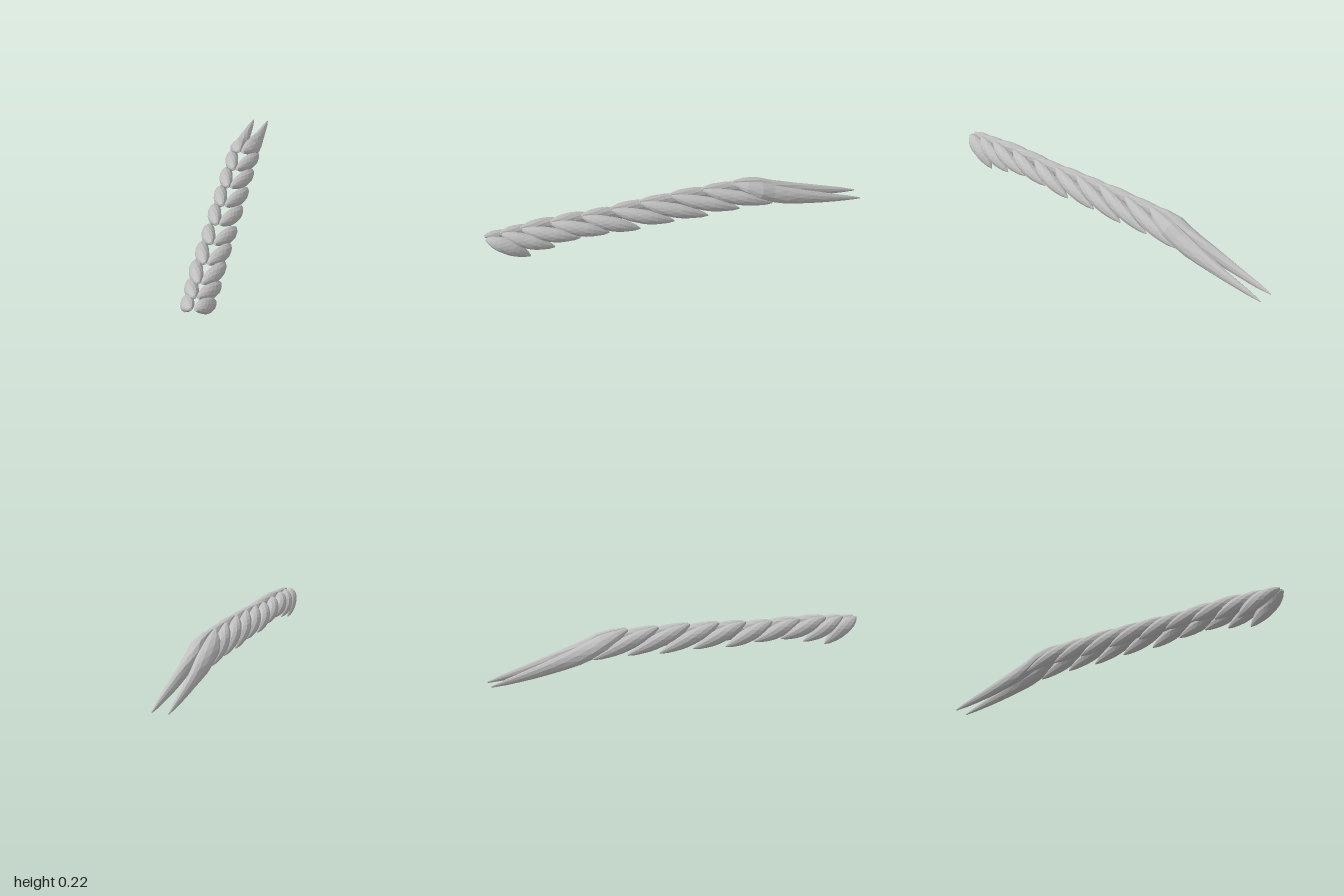
import * as THREE from 'three';

const SIDES = 10, RINGS = 10;
const smooth = (keys, t) => {            // linear lookup in [t, value] pairs
  for (let i = 1; i < keys.length; i++) {
    const [t0, v0] = keys[i - 1], [t1, v1] = keys[i];
    if (t <= t1) return v0 + (v1 - v0) * (t - t0) / (t1 - t0);
  }
  return keys[keys.length - 1][1];
};
const FULLNESS = [[0, 0.22], [0.08, 0.52], [0.25, 0.9], [0.45, 1], [0.65, 0.95], [0.85, 0.6], [0.95, 0.34], [1, 0.1]];
const LONG_FULLNESS = [[0, 0.22], [0.06, 0.6], [0.2, 1], [0.4, 0.97], [0.65, 0.68], [0.88, 0.36], [1, 0.08]];
const LEAN = [[0, 1.2], [0.25, 0.8], [0.55, 0.15], [1, -0.2]]; // angle of the outward side

// One tapered lock: elliptical rings swept along a curve, kept on its own side of the middle
function lockGeometry(points, width, thickness, fullness, side) {
  const curve = new THREE.CatmullRomCurve3(points.map(p => new THREE.Vector3(...p)));
  const pos = [], index = [];
  const push = v => pos.push(side * Math.max(v.x, 0.001), Math.max(v.y, 0), THREE.MathUtils.clamp(v.z, -1, 1));
  const tri = (a, b, c) => side > 0 ? index.push(a, b, c) : index.push(a, c, b);
  for (let i = 0; i <= RINGS; i++) {
    const t = i / RINGS, c = curve.getPointAt(t), T = curve.getTangentAt(t);
    const lean = smooth(LEAN, t), f = smooth(fullness, t);
    const U = new THREE.Vector3(Math.cos(lean), Math.sin(lean), 0);
    U.addScaledVector(T, -U.dot(T)).normalize();
    const V = T.clone().cross(U);
    for (let j = 0; j < SIDES; j++) {
      const a = j / SIDES * Math.PI * 2;
      push(c.clone().addScaledVector(U, Math.cos(a) * thickness * f).addScaledVector(V, Math.sin(a) * width * f));
    }
  }
  const first = pos.length / 3, last = first + 1;
  push(curve.getPointAt(0));
  push(curve.getPointAt(1));
  for (let j = 0; j < SIDES; j++) {
    const k = (j + 1) % SIDES, e = RINGS * SIDES;
    for (let i = 0; i < RINGS; i++) {
      const r = i * SIDES, s = r + SIDES;
      tri(r + j, r + k, s + j);
      tri(r + k, s + k, s + j);
    }
    tri(first, k, j);
    tri(last, e + j, e + k);
  }
  const g = new THREE.BufferGeometry();
  g.setAttribute('position', new THREE.Float32BufferAttribute(pos, 3));
  g.setIndex(index);
  g.computeVertexNormals();
  return g;
}

export function createModel() {
  const model = new THREE.Group();
  model.name = 'braid';
  const grey = new THREE.MeshStandardMaterial({ color: 0xbfbfbf, flatShading: true });
  grey.name = 'light grey';

  const addPair = (name, points, width, thickness, fullness) => {
    for (const side of [1, -1]) {
      const mesh = new THREE.Mesh(lockGeometry(points, width, thickness, fullness, side), grey);
      mesh.name = (side > 0 ? 'left' : 'right') + name;
      model.add(mesh);
    }
  };

  // Blunt pair at the front
  addPair('FrontLock', [[0.012, 0.157, 0.99], [0.032, 0.138, 0.945], [0.05, 0.1, 0.87], [0.062, 0.045, 0.785]],
    0.04, 0.031, FULLNESS);

  // Overlapping pairs: front z, top y, back z, back y
  const rows = [
    [0.91, 0.176, 0.66, 0.068],
    [0.81, 0.181, 0.53, 0.095],
    [0.66, 0.185, 0.38, 0.095],
    [0.5, 0.189, 0.22, 0.084],
    [0.35, 0.2, 0.04, 0.092],
    [0.2, 0.211, -0.14, 0.088],
    [0.04, 0.219, -0.31, 0.095],
    [-0.13, 0.22, -0.49, 0.092],
  ];
  rows.forEach(([z0, top, z1, low], i) => {
    const z = t => z0 + (z1 - z0) * t, drop = top - low;
    addPair('Lock' + (i + 1), [
      [0.009, top - 0.01, z0],
      [0.034, top - drop * 0.34, z(0.28)],
      [0.053, top - drop * 0.6, z(0.6)],
      [0.062, low + 0.004, z1],
    ], 0.037, 0.034, FULLNESS);
  });

  // Long pair running down to the tail tips
  addPair('TailLock', [[0.01, 0.216, -0.295], [0.034, 0.178, -0.4], [0.036, 0.122, -0.53], [0.038, 0.058, -0.76], [0.04, 0.006, -1]],
    0.046, 0.034, LONG_FULLNESS);

  return model;
}
